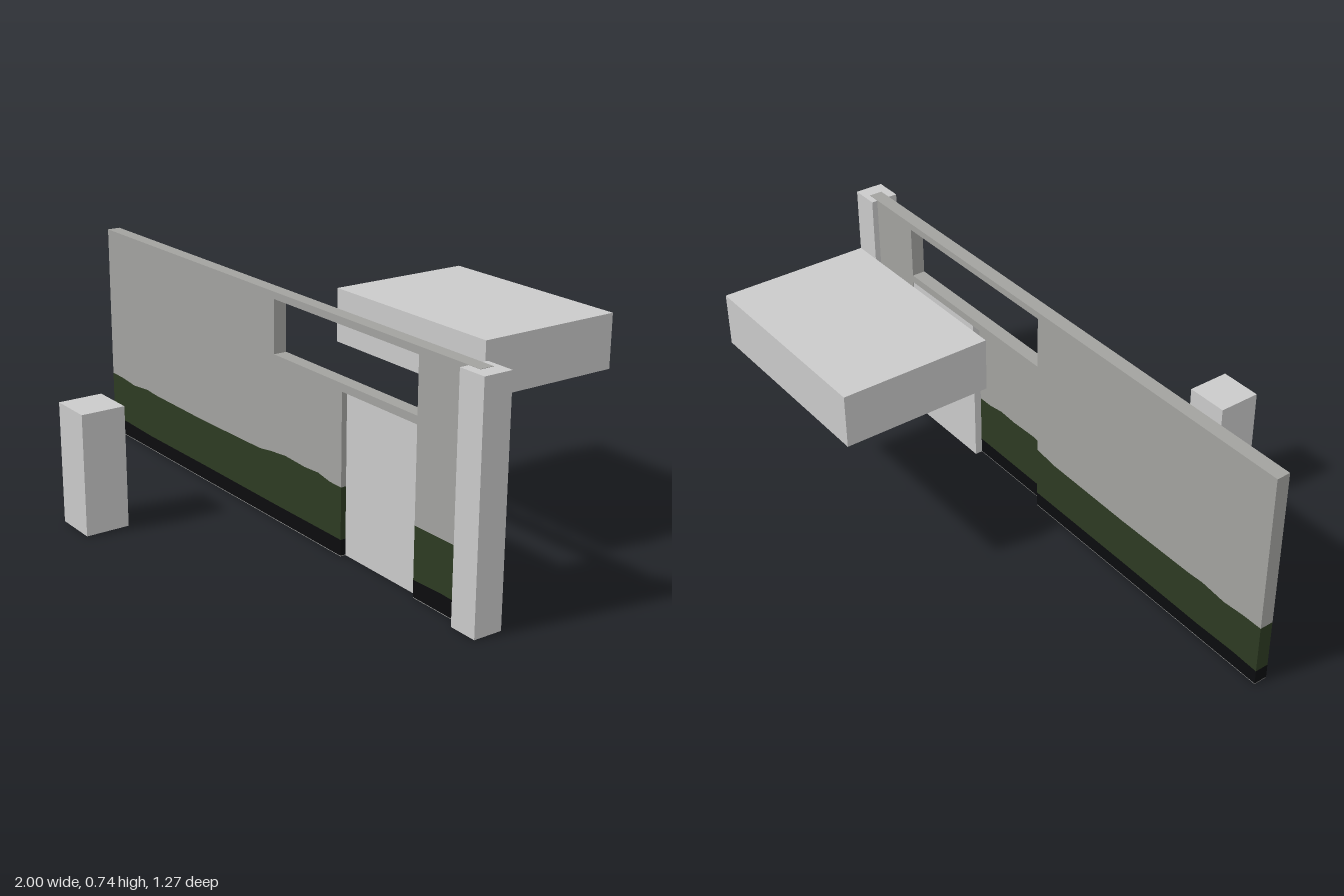
import * as THREE from 'three';

const mat = (name, color) => Object.assign(new THREE.MeshStandardMaterial({ color }), { name });

// Painted band edges as [x, y] points along the wall
const EARTH = [[-1, 0.05], [-0.9, 0.053], [-0.75, 0.049], [-0.4, 0.051], [0, 0.051], [0.3, 0.053], [0.7, 0.054], [0.82, 0.059], [0.95, 0.056]];
const GRASS = [[-1, 0.213], [-0.93, 0.212], [-0.85, 0.205], [-0.76, 0.214], [-0.7, 0.21], [-0.4, 0.208], [-0.2, 0.211],
  [-0.06, 0.213], [0, 0.222], [0.08, 0.23], [0.18, 0.226], [0.25, 0.23], [0.31, 0.22], [0.72, 0.219], [0.95, 0.221]];
const flat = y => [[-1, y], [0.95, y]];

const DOOR_TOP = 0.515, WALL_TOP = 0.736;
const WINDOW = { x0: 0.02, x1: 0.705, y0: 0.54, y1: 0.713 };

// Height of an edge at x
function heightAt(edge, x) {
  const i = Math.max(1, edge.findIndex(p => p[0] >= x));
  const [x0, y0] = edge[i - 1], [x1, y1] = edge[i];
  return y0 + (y1 - y0) * (x - x0) / (x1 - x0);
}

// The piece of an edge between a and b
const slice = (edge, a, b) => [
  [a, heightAt(edge, a)],
  ...edge.filter(p => p[0] > a && p[0] < b),
  [b, heightAt(edge, b)]
];

const toShape = pts => new THREE.Shape(pts.map(p => new THREE.Vector2(...p)));

export function createModel() {
  const model = new THREE.Group();
  model.name = 'wallWithDoor';
  const pale = mat('paleGrey', 0xcacaca);
  const plaster = mat('plasterGrey', 0xa2a29f);
  const green = mat('grassGreen', 0x2d3a22);
  const black = mat('earthBlack', 0x0b0c0e);

  function box(name, x0, x1, y0, y1, z0, z1) {
    const mesh = new THREE.Mesh(new THREE.BoxGeometry(x1 - x0, y1 - y0, z1 - z0), pale);
    mesh.position.set((x0 + x1) / 2, (y0 + y1) / 2, (z0 + z1) / 2);
    mesh.name = name;
    model.add(mesh);
  }

  // One layer of the wall, standing on the given x spans
  function wallLeaf(name, spans, z0, z1) {
    const leaf = new THREE.Group();
    leaf.name = name;
    const extrude = (part, shape, material) => {
      const geometry = new THREE.ExtrudeGeometry(shape, { depth: z1 - z0, bevelEnabled: false });
      const mesh = new THREE.Mesh(geometry, material);
      mesh.position.z = z0;
      mesh.name = part;
      leaf.add(mesh);
    };

    // Foot, earth and grass bands
    const bands = [
      ['foot', flat(0), flat(0.002), plaster],
      ['earthBand', flat(0.002), EARTH, black],
      ['grassBand', EARTH, GRASS, green]
    ];
    for (const [a, b] of spans) {
      for (const [part, low, high, material] of bands) {
        extrude(part, toShape([...slice(low, a, b), ...slice(high, a, b).reverse()]), material);
      }
    }

    // Plain wall above the grass, with the door gap and the window
    const outline = [];
    spans.forEach(([a, b], i) => {
      if (i > 0) outline.push([a, DOOR_TOP]);
      outline.push(...slice(GRASS, a, b));
      if (i < spans.length - 1) outline.push([b, DOOR_TOP]);
    });
    outline.push([0.95, WALL_TOP], [-1, WALL_TOP]);
    const shape = toShape(outline);
    const { x0, x1, y0, y1 } = WINDOW;
    shape.holes.push(new THREE.Path([[x0, y0], [x0, y1], [x1, y1], [x1, y0]].map(p => new THREE.Vector2(...p))));
    extrude('upperWall', shape, plaster);
    model.add(leaf);
  }

  // Front layer has the doorway, back layer the wider pocket the door slides in
  wallLeaf('frontWall', [[-1, 0.365], [0.705, 0.95]], 0.072, 0.09);
  wallLeaf('backWall', [[-1, 0.02], [0.705, 0.95]], 0.045, 0.072);

  box('slidingDoor', 0.365, 0.705, 0, DOOR_TOP, 0.047, 0.072);
  box('endPost', 0.905, 1, 0, 0.735, 0.025, 0.12);
  box('frontPillar', -0.343, -0.197, 0, 0.392, 0.49, 0.635);
  box('floatingBlock', 0.02, 0.705, 0.54, 0.711, -0.635, -0.147);
  return model;
}
